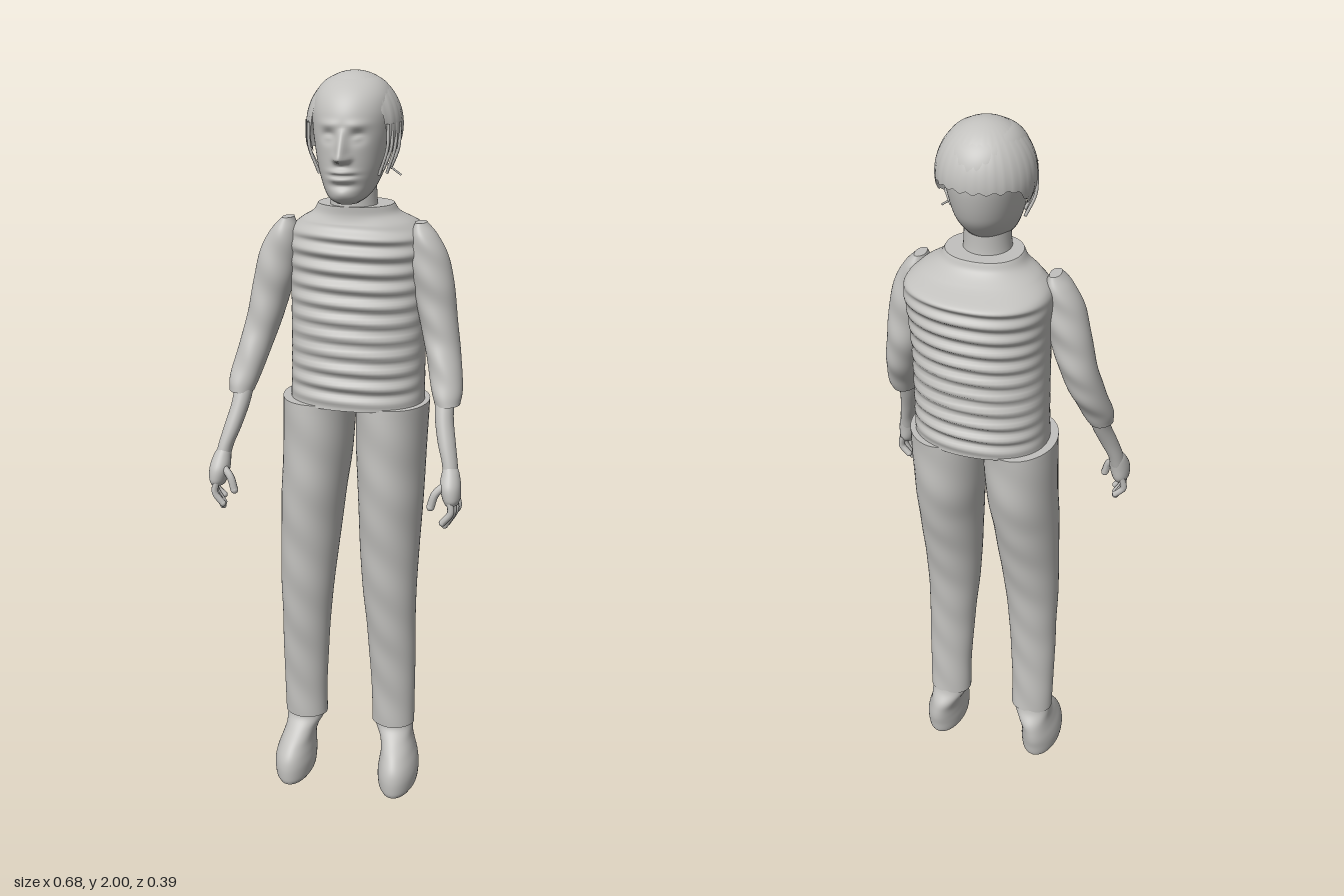
import * as THREE from 'three';

const grey = new THREE.MeshStandardMaterial({ color: 0xc2c1be, side: THREE.DoubleSide });
grey.name = 'plain grey';

const { lerp, clamp } = THREE.MathUtils;
const bump = (d, width) => Math.exp(-(d * d) / (width * width));

// Closed solid through horizontal oval sections [y, centreX, centreZ, radiusX, radiusZ], lowest first
function loft(name, sections, { rows = 40, cols = 48, power = 2, shape } = {}) {
  const centres = new THREE.CatmullRomCurve3(sections.map(([y, x, z]) => new THREE.Vector3(x, y, z)), false, 'catmullrom', 0.5);
  const radii = new THREE.CatmullRomCurve3(sections.map((s) => new THREE.Vector3(s[3], 0, s[4])), false, 'catmullrom', 0.5);
  const pos = [], index = [];
  const round = (v) => Math.sign(v) * Math.abs(v) ** (2 / power);
  for (let r = 0; r <= rows; r++) {
    const c = centres.getPoint(r / rows), rad = radii.getPoint(r / rows);
    for (let k = 0; k < cols; k++) {
      const a = (k / cols) * Math.PI * 2;
      const p = new THREE.Vector3(c.x + rad.x * round(Math.sin(a)), c.y, c.z + rad.z * round(Math.cos(a)));
      if (shape) shape(p, a);
      pos.push(p.x, p.y, p.z);
      if (r < rows) {
        const i = r * cols + k, j = r * cols + (k + 1) % cols;
        index.push(i, j, j + cols, i, j + cols, i + cols);
      }
    }
  }
  // End caps with their own corners, so the rims stay sharp
  for (const [row, section] of [[0, sections[0]], [rows, sections.at(-1)]]) {
    const start = pos.length / 3;
    pos.push(...pos.slice(row * cols * 3, (row + 1) * cols * 3), section[1], section[0], section[2]);
    for (let k = 0; k < cols; k++) {
      const a = start + k, b = start + (k + 1) % cols, mid = start + cols;
      index.push(...(row ? [mid, a, b] : [mid, b, a]));
    }
  }
  const geo = new THREE.BufferGeometry();
  geo.setAttribute('position', new THREE.Float32BufferAttribute(pos, 3));
  geo.setIndex(index);
  geo.computeVertexNormals();
  return named(name, geo);
}

function named(name, geo) {
  const mesh = new THREE.Mesh(geo, grey);
  mesh.name = name;
  return mesh;
}

function tube(name, points, radius) {
  const curve = new THREE.CatmullRomCurve3(points.map((p) => new THREE.Vector3(...p)));
  return named(name, new THREE.TubeGeometry(curve, 14, radius, 8));
}

// Nose, brow, eyes, lips and chin raised from the front of the head
function sculptFace(p, a) {
  if (Math.cos(a) < 0.1) return;
  const x = p.x - 0.015, y = p.y, ax = Math.abs(x);
  const ridge = clamp((1.875 - y) / 0.065, 0, 1) * clamp((y - 1.787) / 0.014, 0, 1);
  p.z += 0.036 * ridge * bump(x, 0.009 + 0.006 * ridge);
  p.z += 0.008 * bump(ax - 0.015, 0.009) * bump(y - 1.8, 0.01);
  p.z -= 0.014 * bump(ax - 0.036, 0.018) * bump(y - 1.853, 0.014);
  p.z += 0.009 * bump(ax - 0.036, 0.013) * bump(y - 1.85, 0.008);
  p.z += 0.005 * bump(ax - 0.035, 0.025) * bump(y - 1.882, 0.01);
  p.z += 0.012 * bump(x, 0.027) * (bump(y - 1.77, 0.007) + bump(y - 1.752, 0.007));
  p.z -= 0.006 * bump(x, 0.026) * bump(y - 1.761, 0.004);
  p.z -= 0.006 * bump(x, 0.03) * bump(y - 1.736, 0.008);
  p.z += 0.005 * bump(x, 0.025) * bump(y - 1.716, 0.012);
}

function makeHead() {
  const head = new THREE.Group();
  head.name = 'head';
  // Face profile: [y, front z, back z, half width]
  const profile = [
    [1.688, 0.115, 0.04, 0.028], [1.70, 0.136, 0.0, 0.046], [1.72, 0.142, -0.045, 0.062],
    [1.76, 0.144, -0.085, 0.079], [1.80, 0.144, -0.105, 0.089], [1.86, 0.142, -0.119, 0.099],
    [1.91, 0.133, -0.118, 0.102], [1.95, 0.108, -0.1, 0.093], [1.98, 0.068, -0.064, 0.066], [1.995, 0.02, -0.02, 0.02],
  ];
  head.add(loft('face', profile.map(([y, f, b, w]) => [y, 0.015, (f + b) / 2, w, (f - b) / 2]),
    { rows: 110, cols: 128, shape: sculptFace }));
  head.add(loft('neck', [[1.63, 0.016, 0.008, 0.068, 0.068], [1.68, 0.016, 0.012, 0.06, 0.062], [1.75, 0.016, 0.01, 0.056, 0.06]]));

  // Hair cap with a rim that is high in front, low at the temples and middling behind
  const cap = new THREE.SphereGeometry(1, 96, 30, 0, Math.PI * 2, 0, 1);
  const p = cap.attributes.position;
  for (let i = 0; i < p.count; i++) {
    const theta = Math.acos(clamp(p.getY(i), -1, 1));
    const az = Math.atan2(p.getX(i), p.getZ(i)), side = Math.abs(az);
    let rim = lerp(1.95, 1.81, THREE.MathUtils.smoothstep(side, 0.7, 1.05));
    rim = lerp(rim, 1.865, THREE.MathUtils.smoothstep(side, 1.6, 2.3));
    rim += 0.004 * Math.sin(az * 23);
    const t = theta * Math.acos((rim - 1.87) / 0.13);
    const swell = 1 + 0.006 * Math.sin(az * 30) * Math.sin(t);
    p.setXYZ(i, 0.015 + 0.121 * swell * Math.sin(t) * Math.sin(az), 1.87 + 0.13 * Math.cos(t),
      0.125 * swell * Math.sin(t) * Math.cos(az));
  }
  cap.computeVertexNormals();
  head.add(named('hairCap', cap));

  // Loose strands beside the cheeks
  for (const s of [-1, 1]) {
    for (let i = 0; i < 4; i++) {
      const z = 0.02 + i * 0.018, x = 0.118 - i * 0.006;
      head.add(tube('hairStrand', [[0.015 + s * x, 1.88, z], [0.015 + s * (x - 0.002), 1.82, z],
        [0.015 + s * (x - 0.024), 1.765 - 0.01 * (i % 2), z - 0.01]], 0.004));
    }
  }
  head.add(tube('looseStrand', [[0.09, 1.79, 0.03], [0.115, 1.77, 0.03], [0.14, 1.752, 0.03]], 0.0025));
  return head;
}

// Ribbed jumper body
function makeTorso() {
  return loft('torso', [
    [1.15, 0.02, -0.022, 0.18, 0.132], [1.25, 0.02, -0.026, 0.178, 0.134], [1.4, 0.02, -0.03, 0.178, 0.136],
    [1.5, 0.02, -0.038, 0.182, 0.138], [1.57, 0.02, -0.045, 0.187, 0.143], [1.603, 0.02, -0.047, 0.18, 0.14],
    [1.63, 0.02, -0.025, 0.15, 0.106], [1.652, 0.018, -0.012, 0.113, 0.088], [1.675, 0.018, -0.006, 0.097, 0.083],
  ], {
    rows: 130, cols: 72, power: 2.2,
    shape: (p, a) => {
      const fade = clamp((p.y - 1.15) / 0.04, 0, 1) * clamp((1.63 - p.y) / 0.04, 0, 1);
      p.z += 0.007 * fade * Math.cos(a) * Math.sin((p.y * 2 * Math.PI) / 0.043 + 0.7 * Math.sin(2 * a));
    },
  });
}

function makeArm(s) {
  const arm = new THREE.Group();
  arm.name = s > 0 ? 'leftArm' : 'rightArm';
  const X = (x, y) => s * x + lerp(-0.005, 0.013, clamp((y - 1) / 0.5, 0, 1));
  const place = (list) => list.map(([y, x, ...rest]) => [y, X(x, y), ...rest]);
  arm.add(loft('sleeve', place([
    [1.18, 0.276, 0.075, 0.033, 0.036], [1.22, 0.27, 0.06, 0.041, 0.045], [1.3, 0.251, 0.026, 0.045, 0.052],
    [1.38, 0.231, 0.008, 0.049, 0.053], [1.48, 0.21, 0.005, 0.054, 0.052], [1.55, 0.196, 0.005, 0.05, 0.05],
    [1.6, 0.183, 0.003, 0.035, 0.042], [1.632, 0.174, 0.0, 0.014, 0.028],
  ]), {
    rows: 70,
    shape: (p, a) => { p.z += 0.003 * Math.cos(a) * Math.sin(p.y * 60 + 2 * a); },
  }));
  arm.add(loft('forearm', place([
    [1.0, 0.307, 0.145, 0.02, 0.024], [1.04, 0.301, 0.135, 0.02, 0.026], [1.09, 0.287, 0.118, 0.023, 0.028],
    [1.15, 0.273, 0.093, 0.024, 0.03], [1.21, 0.268, 0.068, 0.026, 0.03],
  ])));
  arm.add(loft('palm', place([
    [0.943, 0.314, 0.164, 0.018, 0.028], [0.96, 0.313, 0.162, 0.024, 0.036], [0.99, 0.309, 0.158, 0.027, 0.036],
    [1.02, 0.306, 0.146, 0.022, 0.028], [1.035, 0.303, 0.14, 0.016, 0.022],
  ]), { rows: 24, cols: 28 }));
  // Curled fingers and thumb
  const bone = (name, pts, r) => {
    arm.add(tube(name, pts.map(([x, y, z]) => [X(x, y), y, z]), r));
    const [x, y, z] = pts.at(-1);
    const tip = named(name + 'Tip', new THREE.SphereGeometry(r, 10, 8));
    tip.position.set(X(x, y), y, z);
    arm.add(tip);
  };
  [0.137, 0.153, 0.17, 0.186].forEach((z, i) => {
    const low = [0.9, 0.885, 0.883, 0.895][i], x = 0.322 - i * 0.004;
    bone('finger', [[x, 0.96, z], [x + 0.006, 0.925, z + 0.003], [x - 0.015, low, z + 0.002]], 0.009);
  });
  bone('thumb', [[0.3, 0.995, 0.17], [0.274, 0.97, 0.182], [0.263, 0.935, 0.185]], 0.0105);
  return arm;
}

function makeLeg(s) {
  const leg = new THREE.Group();
  leg.name = s > 0 ? 'leftLeg' : 'rightLeg';
  const place = (list) => list.map(([y, x, ...rest]) => [y, s * x + lerp(0, 0.016, clamp((y - 0.65) / 0.5, 0, 1)), ...rest]);
  leg.add(loft('trouserLeg', place([
    [0.18, 0.129, -0.014, 0.061, 0.05], [0.28, 0.129, -0.01, 0.062, 0.05], [0.4, 0.126, -0.004, 0.066, 0.055],
    [0.5, 0.122, 0.0, 0.069, 0.063], [0.62, 0.117, 0.002, 0.076, 0.074], [0.75, 0.112, -0.004, 0.083, 0.09],
    [0.88, 0.108, -0.012, 0.089, 0.11], [1.0, 0.102, -0.022, 0.094, 0.122], [1.155, 0.1, -0.022, 0.098, 0.123],
  ]), {
    rows: 80,
    shape: (p, a) => { p.z += 0.002 * Math.sin(p.y * 42 + 3 * a) * Math.cos(a); },
  }));
  leg.add(loft('foot', place([
    [0.0, 0.153, 0.03, 0.045, 0.09], [0.015, 0.153, 0.025, 0.054, 0.1], [0.05, 0.153, 0.022, 0.057, 0.104],
    [0.08, 0.152, 0.015, 0.053, 0.103], [0.11, 0.148, 0.003, 0.047, 0.092], [0.14, 0.14, -0.012, 0.047, 0.073],
    [0.17, 0.132, -0.016, 0.054, 0.05], [0.2, 0.13, -0.014, 0.054, 0.045],
  ])));
  return leg;
}

export function createModel() {
  const figure = new THREE.Group();
  figure.name = 'standingFigure';
  figure.add(makeHead(), makeTorso());
  for (const s of [-1, 1]) figure.add(makeArm(s), makeLeg(s));
  return figure;
}
